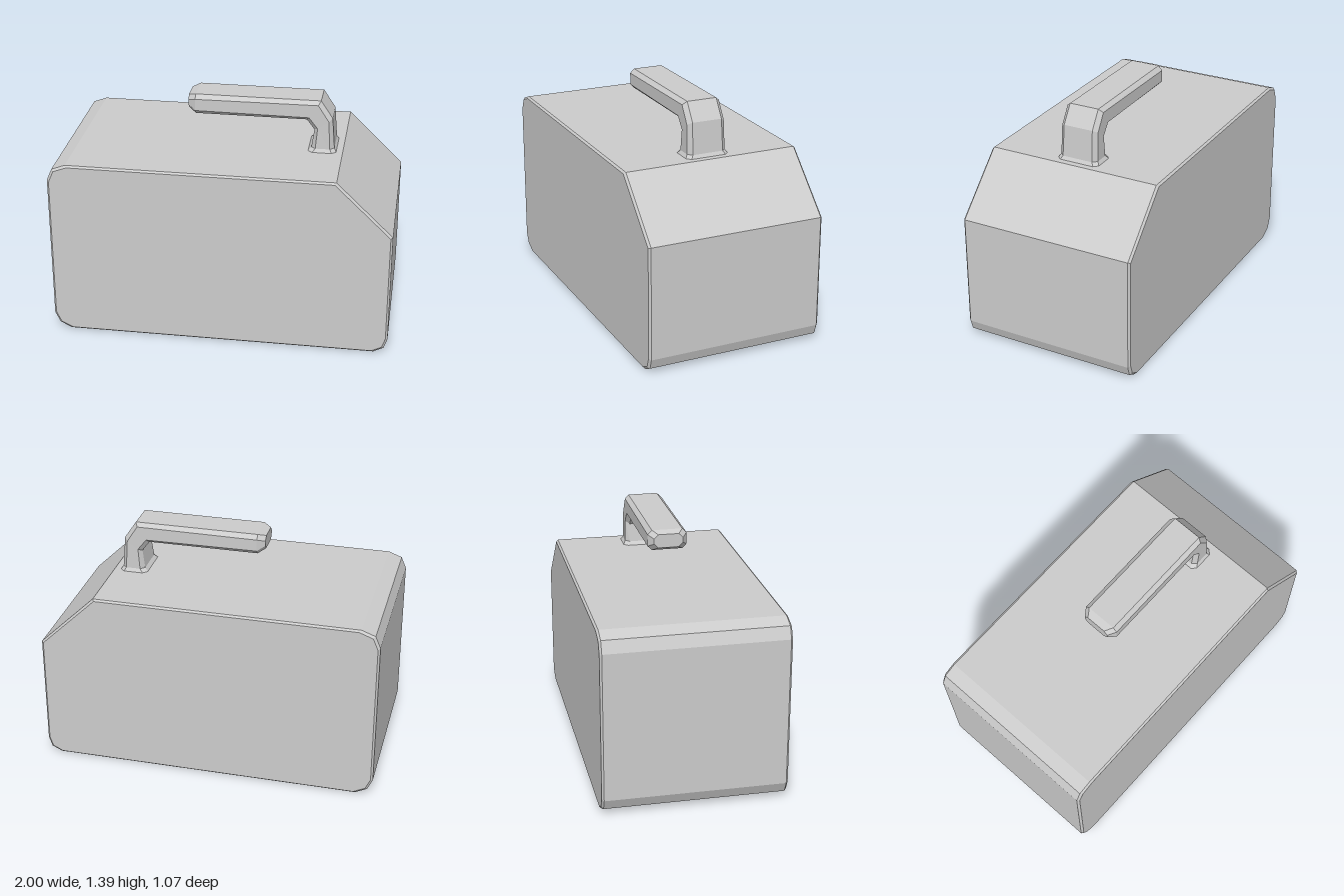
import * as THREE from 'three';

const material = new THREE.MeshStandardMaterial({
  color: 0xcccccc, flatShading: true, side: THREE.DoubleSide,
});

// Skin a list of convex cross-section rings and cap both ends.
function loft(rings, skip = () => false) {
  const n = rings[0].length;
  const positions = rings.flat(2);
  const index = [];
  for (let k = 0; k < rings.length - 1; k++) {
    for (let j = 0; j < n; j++) {
      if (skip(k, j)) continue;
      const a = k * n + j, d = k * n + (j + 1) % n;
      index.push(a, a + n, d + n, a, d + n, d);
    }
  }
  const last = (rings.length - 1) * n;
  for (let j = 1; j < n - 1; j++) {
    index.push(0, j, j + 1, last, last + j + 1, last + j);
  }
  const indexed = new THREE.BufferGeometry();
  indexed.setAttribute('position', new THREE.Float32BufferAttribute(positions, 3));
  indexed.setIndex(index);
  const geometry = indexed.toNonIndexed();
  geometry.computeVertexNormals();
  return geometry;
}

// Hollow case: side profile swept across z, open underneath.
function createCase() {
  const profile = [
    [0.92, 0], [0.98, 0.03], [1, 0.09], [1, 0.76], [0.67, 1.08],
    [-0.89, 1.08], [-0.97, 1.05], [-1, 0.98], [-1, 0.1], [-0.97, 0.035], [-0.9, 0],
  ];
  const centreY = 0.54, inset = 0.012;
  const ring = (z, amount) => profile.map(([x, y]) => [
    x * (1 - amount), centreY + (y - centreY) * (1 - amount * 1.6), z,
  ]);
  const rings = [
    ring(0.535, inset), ring(0.523, 0), ring(-0.523, 0), ring(-0.535, inset),
  ];
  const openBottom = (k, j) => k === 1 && j === profile.length - 1;
  const mesh = new THREE.Mesh(loft(rings, openBottom), material);
  mesh.name = 'case';
  return mesh;
}

// Chamfered handle: each section runs from an inner to an outer point.
function createHandle() {
  const sections = [
    // inner x, y, outer x, y, half width
    [-0.245, 1.295, -0.245, 1.375, 0.085],
    [-0.2, 1.27, -0.2, 1.39, 0.115],
    [0.455, 1.27, 0.535, 1.39, 0.115],
    [0.5, 1.21, 0.605, 1.285, 0.115],
    [0.485, 1.1, 0.62, 1.1, 0.118],
    [0.465, 1.078, 0.633, 1.078, 0.132],
  ];
  const chamfer = 0.025;
  const rings = sections.map(([ix, iy, ox, oy, w]) => {
    const t = chamfer / Math.hypot(ox - ix, oy - iy);
    const s = w - chamfer;
    return [
      [-s, 0], [s, 0], [w, t], [w, 1 - t], [s, 1], [-s, 1], [-w, 1 - t], [-w, t],
    ].map(([z, f]) => [ix + (ox - ix) * f, iy + (oy - iy) * f, z]);
  });
  const mesh = new THREE.Mesh(loft(rings), material);
  mesh.name = 'handle';
  return mesh;
}

export function createModel() {
  const group = new THREE.Group();
  group.name = 'handledCase';
  group.add(createCase(), createHandle());
  return group;
}
